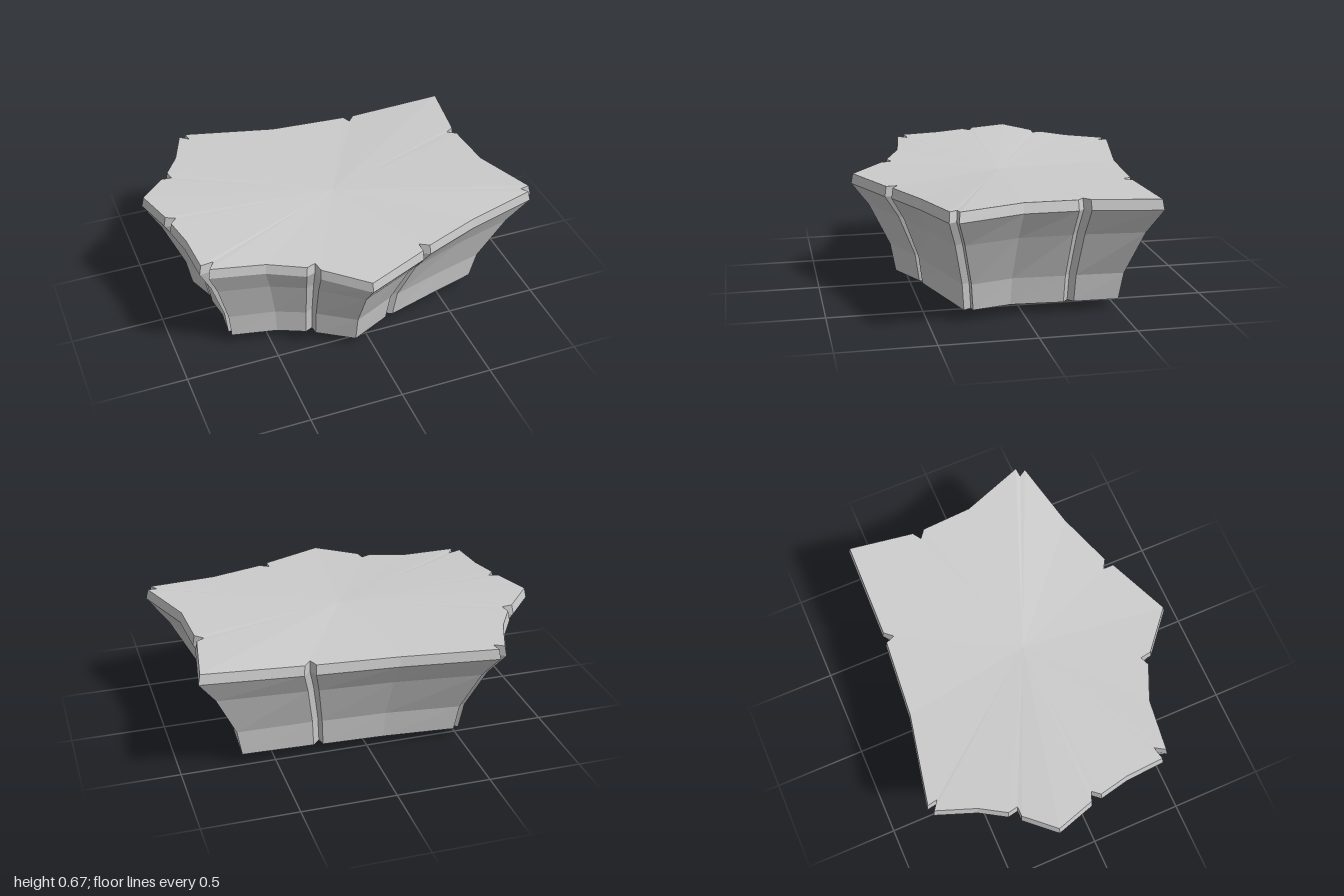
import * as THREE from 'three';

// Rim outline (x, z); each short inward step is the valley of a crack
const rimOutline = [
  [-0.61, -0.8], [-0.11, -0.7], [0.32, -0.665], [0.34, -0.615], [0.38, -0.66], [0.91, -0.65],
  [0.855, -0.295], [0.81, -0.265], [0.855, -0.23], [0.87, 0.05], [0.995, 0.39], [0.945, 0.395],
  [0.97, 0.435], [0.6, 0.52], [0.3, 0.627], [0.25, 0.597], [0.25, 0.655], [-0.09, 0.8],
  [-0.3, 0.62], [-0.31, 0.56], [-0.36, 0.58], [-0.55, 0.495], [-0.835, 0.455], [-0.8, 0.4],
  [-0.87, 0.415], [-0.885, 0.2], [-0.92, 0.04], [-0.885, 0], [-0.935, -0.02], [-1, -0.23],
  [-0.86, -0.38], [-0.805, -0.38], [-0.815, -0.435], [-0.73, -0.57], [-0.65, -0.78], [-0.6, -0.745],
];

// Narrower outline at the foot, point for point below the rim
const footOutline = [
  [-0.47, -0.56], [-0.09, -0.51], [0.24, -0.495], [0.25, -0.45], [0.29, -0.49], [0.675, -0.495],
  [0.665, -0.26], [0.625, -0.235], [0.665, -0.205], [0.65, 0.07], [0.71, 0.275], [0.67, 0.28],
  [0.7, 0.32], [0.43, 0.385], [0.175, 0.455], [0.13, 0.43], [0.13, 0.465], [-0.085, 0.567],
  [-0.27, 0.45], [-0.275, 0.405], [-0.315, 0.425], [-0.46, 0.365], [-0.7, 0.325], [-0.665, 0.285],
  [-0.71, 0.295], [-0.7, 0.15], [-0.72, 0.03], [-0.68, 0], [-0.72, -0.03], [-0.775, -0.17],
  [-0.66, -0.27], [-0.62, -0.28], [-0.63, -0.31], [-0.55, -0.41], [-0.5, -0.55], [-0.46, -0.52],
];

// Blend of foot (0) and rim (1) outlines; bends upwards to the left and right ends
const ring = (blend, scale, y, bend, droop = 0) => rimOutline.map(([x, z], j) => {
  const [fx, fz] = footOutline[j];
  return [
    THREE.MathUtils.lerp(fx, x, blend) * scale,
    y + bend * x * x - 0.15 * bend * x - droop * Math.abs(z),
    THREE.MathUtils.lerp(fz, z, blend) * scale,
  ];
});

// Side walls between successive rings, listed from the top down
function walls(rings) {
  const out = [];
  for (let i = 0; i + 1 < rings.length; i++) {
    const up = rings[i], low = rings[i + 1];
    for (let j = 0; j < up.length; j++) {
      const k = (j + 1) % up.length;
      out.push(up[j], up[k], low[k], up[j], low[k], low[j]);
    }
  }
  return out;
}

// Fan of triangles closing a ring
function cap(points, centre, facesUp) {
  return points.flatMap((p, j) => {
    const q = points[(j + 1) % points.length];
    return facesUp ? [centre, q, p] : [centre, p, q];
  });
}

function makeMesh(name, corners) {
  const geometry = new THREE.BufferGeometry();
  geometry.setAttribute('position', new THREE.Float32BufferAttribute(corners.flat(), 3));
  geometry.computeVertexNormals();
  const mesh = new THREE.Mesh(geometry, new THREE.MeshStandardMaterial({ color: 0xcccccc, flatShading: true }));
  mesh.name = name;
  return mesh;
}

export function createModel() {
  const group = new THREE.Group();
  group.name = 'rockPlatform';

  const top = ring(1, 0.988, 0.622, 0.045, 0.018);
  const rim = ring(1, 1, 0.568, 0.045, 0.018);
  const middle = ring(0.6, 1, 0.43, 0.03);
  const waist = ring(0.12, 1, 0.2, 0.012);
  const foot = ring(0, 1, 0.045, 0.022);
  const base = ring(0, 0.84, 0.018, 0.018);

  group.add(
    makeMesh('topSurface', cap(top, [0, 0.62, 0], true)),
    makeMesh('rimEdge', walls([top, rim])),
    makeMesh('rockSides', walls([rim, middle, waist, foot])),
    makeMesh('underside', [...walls([foot, base]), ...cap(base, [-0.03, 0, 0], false)]),
  );
  return group;
}
